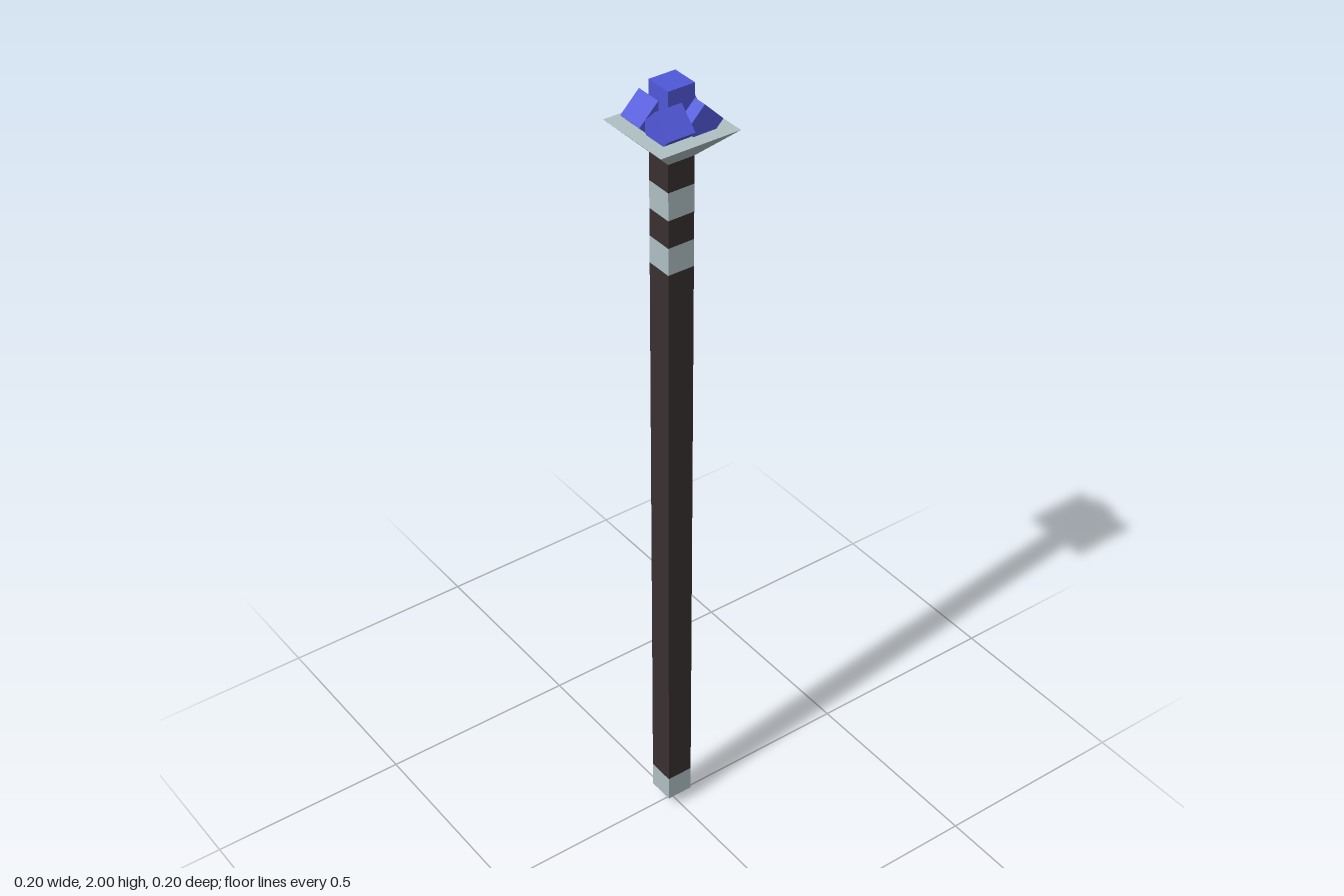
import * as THREE from 'three';

const mat = (name, color) => {
  const m = new THREE.MeshStandardMaterial({ color });
  m.name = name;
  return m;
};

// Square frustum with flat faces; half-widths at top and bottom
function frustum(top, bottom, y0, y1) {
  const g = new THREE.CylinderGeometry(top * Math.SQRT2, bottom * Math.SQRT2, y1 - y0, 4);
  g.rotateY(Math.PI / 4).translate(0, (y0 + y1) / 2, 0);
  const flat = g.toNonIndexed();
  flat.computeVertexNormals();
  return flat;
}

export function createModel() {
  const model = new THREE.Group();
  const wood = mat('dark wood', 0x3a3131);
  const silver = mat('pale silver', 0xb0c0c3);
  const blue = mat('blue crystal', 0x5058d8);
  const darkBlue = mat('dark blue tip', 0x2c3656);

  const add = (name, geometry, material) => {
    const mesh = new THREE.Mesh(geometry, material);
    mesh.name = name;
    model.add(mesh);
    return mesh;
  };

  const h = 1 / 30; // half-width of the shaft
  const size = 2 * h;

  // Shaft split into wood sections and silver bands
  const sections = [
    ['ferrule', 0.0333, 0.1, silver],
    ['mainShaft', 0.1, 1.5667, wood],
    ['lowerBand', 1.5667, 1.6333, silver],
    ['middleShaft', 1.6333, 1.7, wood],
    ['upperBand', 1.7, 1.7667, silver],
    ['upperShaft', 1.7667, 1.8333, wood],
  ];
  for (const [name, y0, y1, material] of sections) {
    add(name, new THREE.BoxGeometry(size, y1 - y0, size).translate(0, (y0 + y1) / 2, 0), material);
  }

  // Pointed foot and flared head
  add('footTip', frustum(h, 0, 0, 0.0333), darkBlue);
  add('flaredHead', frustum(0.1, h, 1.8333, 1.9), silver);

  // Upright crystal ringed by four cubes tipped on edge
  const cube = new THREE.BoxGeometry(size, size, size);
  add('centreCrystal', cube, blue).position.set(0, 2 - h, 0);
  const ring = [
    [1, -1, 'x'],
    [-1, -1, 'z'],
    [-1, 1, 'x'],
    [1, 1, 'z'],
  ];
  for (const [sx, sz, axis] of ring) {
    const crystal = add('tiltedCrystal', cube, blue);
    crystal.position.set(sx * h, 1.918, sz * h);
    crystal.rotation[axis] = Math.PI / 4;
  }

  return model;
}
